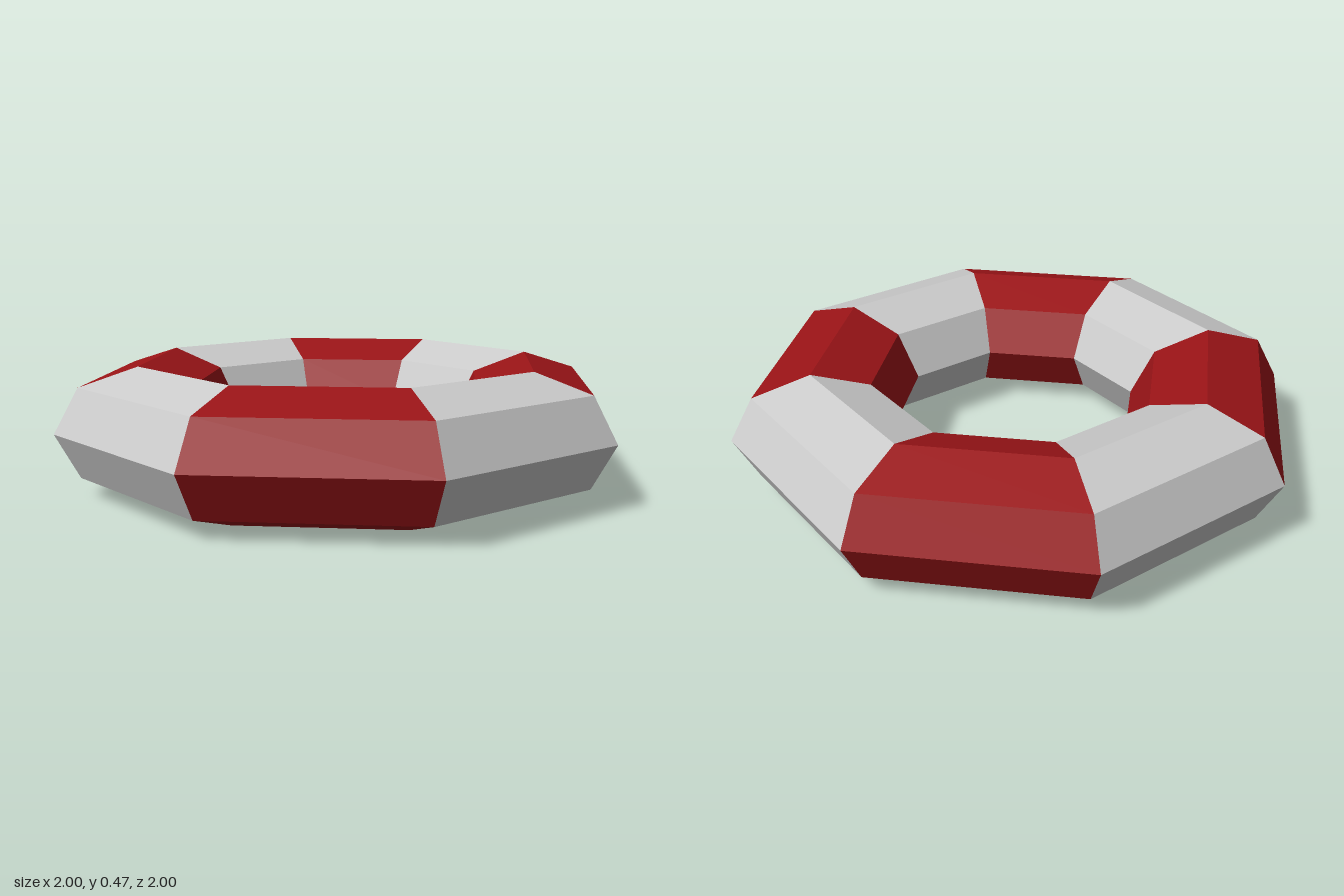
import * as THREE from 'three';

export function createModel() {
  const group = new THREE.Group();
  group.name = 'lifeRing';
  const white = new THREE.MeshStandardMaterial({ color: 0xcccccc, flatShading: true });
  const red = new THREE.MeshStandardMaterial({ color: 0x9a1417, flatShading: true });

  // Eight-sided oval cross-section of the ring; radii are scaled from flat sides to corners
  const toCorner = 1 / Math.cos(Math.PI / 8);
  const profile = [];
  for (let i = 0; i <= 8; i++) {
    const a = (i * Math.PI) / 4;
    profile.push(new THREE.Vector2((0.713 + 0.284 * Math.cos(a)) * toCorner, 0.235 + 0.235 * Math.sin(a)));
  }

  // Eight straight segments in alternating colours, white ones on the axes
  const step = Math.PI / 4;
  for (let i = 0; i < 8; i++) {
    const geometry = new THREE.LatheGeometry(profile, 1, (i - 0.5) * step, step);
    const segment = new THREE.Mesh(geometry, i % 2 ? red : white);
    segment.name = (i % 2 ? 'redSegment' : 'whiteSegment') + (i + 1);
    group.add(segment);
  }

  // The ring sits very slightly turned
  group.rotation.y = 0.007;
  return group;
}
